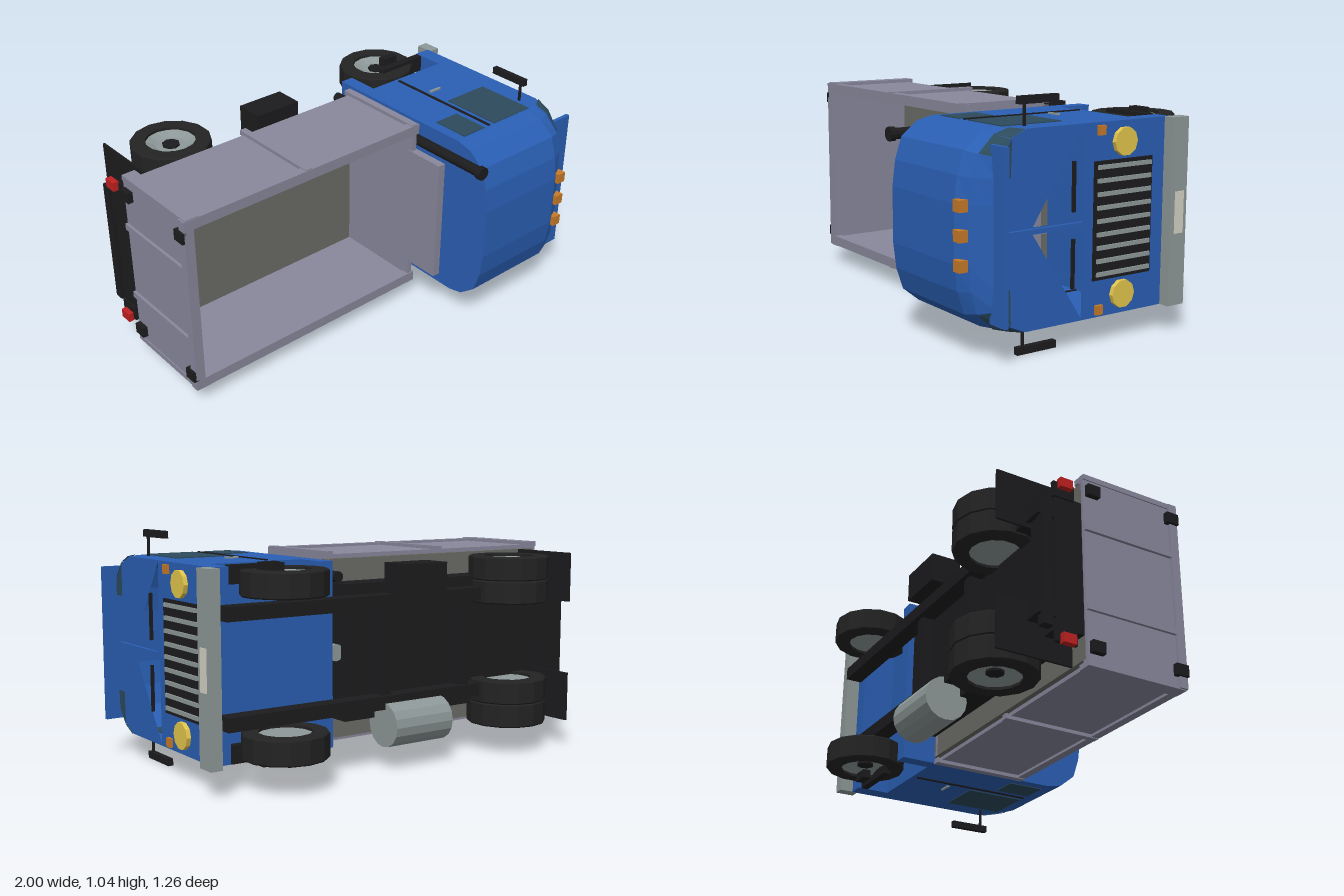
import * as THREE from 'three';

const BLUE = 0x2a5fb4, BODY = 0x88889c, BLACK = 0x1c1c1e, STEEL = 0x8e9898, FLOOR = 0x6b6b66,
  GLASS = 0x2c4a5c, AMBER = 0xc67a28, TYRE = 0x232323, RED = 0xc02020, YELLOW = 0xe4c64c, IVORY = 0xd6d2c4;

const materials = {};
function mat(color, double) {
  const key = color + (double ? 'd' : '');
  return materials[key] ??= new THREE.MeshStandardMaterial({
    color, flatShading: true, side: double ? THREE.DoubleSide : THREE.FrontSide });
}

// The truck lies on its side: nose to +x, roof to +z, width along y.
export function createModel() {
  const truck = new THREE.Group();
  truck.name = 'truck';
  truck.position.y = 0.522;
  const root = new THREE.Group();
  root.add(truck);

  function add(name, geometry, color, double) {
    const mesh = new THREE.Mesh(geometry, mat(color, double));
    mesh.name = name;
    truck.add(mesh);
    return mesh;
  }
  // Box by its limits
  function box(name, color, x0, x1, y0, y1, z0, z1) {
    const m = add(name, new THREE.BoxGeometry(x1 - x0, y1 - y0, z1 - z0), color);
    m.position.set((x0 + x1) / 2, (y0 + y1) / 2, (z0 + z1) / 2);
  }
  // The same box on both sides of the truck
  function pair(name, color, x0, x1, y0, y1, z0, z1) {
    box(name, color, x0, x1, y0, y1, z0, z1);
    box(name, color, x0, x1, -y1, -y0, z0, z1);
  }
  function rod(name, color, r, length, axis, x, y, z, sides = 12) {
    const m = add(name, new THREE.CylinderGeometry(r, r, length, sides), color);
    if (axis === 'x') m.rotation.z = -Math.PI / 2;
    if (axis === 'z') m.rotation.x = Math.PI / 2;
    m.position.set(x, y, z);
  }
  function surface(name, points, color) {
    const g = new THREE.BufferGeometry();
    g.setAttribute('position', new THREE.Float32BufferAttribute(points, 3));
    g.computeVertexNormals();
    add(name, g, color, true);
  }

  // ---- Cab shell: cross-sections (half width, z) along x
  const full = [[0.404, -0.22], [0.404, 0.42], [0.387, 0.495], [0.325, 0.572], [0.23, 0.603], [0.12, 0.617]];
  const mid = [[0.404, -0.22], [0.404, 0.41], [0.383, 0.48], [0.315, 0.552], [0.225, 0.578], [0.12, 0.588]];
  const nose = [[0.404, -0.22], [0.404, 0.36], [0.37, 0.44], [0.3, 0.495], [0.22, 0.505], [0.12, 0.505]];
  const ring = h => [...h, ...h.slice().reverse().map(([d, z]) => [-d, z])];
  const sections = [[0.345, full], [0.81, full], [0.87, mid], [0.93, nose]];
  const pos = [];
  for (let i = 0; i < sections.length - 1; i++) {
    const [xa, ha] = sections[i], [xb, hb] = sections[i + 1];
    const A = ring(ha), B = ring(hb), n = A.length;
    for (let j = 0; j < n - 1; j++) {
      const a = [xa, ...A[j]], b = [xa, ...A[j + 1]], c = [xb, ...B[j + 1]], d = [xb, ...B[j]];
      pos.push(...a, ...b, ...c, ...a, ...c, ...d);
    }
  }
  surface('cabShell', pos, BLUE);

  // Front wall with two triangular openings, and rear wall
  const front = new THREE.Shape(ring(nose).map(([d, z]) => new THREE.Vector2(-z, d)));
  for (const s of [1, -1]) {
    front.holes.push(new THREE.Path([[0.395, 0.08], [0.015, 0.33], [0.015, 0.08]]
      .map(([d, z]) => new THREE.Vector2(-z, s * d))));
  }
  const frontWall = add('cabFront', new THREE.ShapeGeometry(front), BLUE, true);
  frontWall.rotation.y = Math.PI / 2;
  frontWall.position.x = 0.93;
  const rear = new THREE.Shape(ring(full).map(([d, z]) => new THREE.Vector2(z, d)));
  const rearWall = add('cabRear', new THREE.ShapeGeometry(rear), BLUE);
  rearWall.rotation.y = -Math.PI / 2;
  rearWall.position.x = 0.345;

  // Floor and the skirts around the wheel arches
  box('cabFloor', BLUE, 0.346, 0.929, -0.403, 0.403, -0.222, -0.2);
  box('rearSkirt', BLUE, 0.345, 0.41, -0.404, 0.404, -0.38, -0.22);
  box('frontSkirt', BLUE, 0.85, 0.93, -0.404, 0.404, -0.38, -0.22);
  box('centrePillar', BLUE, 0.925, 0.945, -0.01, 0.01, 0.09, 0.455);
  box('sunVisor', BLUE, 0.9, 1.0, -0.352, 0.352, 0.495, 0.513);

  // Corner windows wrapping from the nose onto the door side
  const glassQuads = [
    [[0.934, 0.22, 0.44], [0.934, 0.22, 0.5], [0.934, 0.3, 0.49], [0.934, 0.37, 0.435]],
    [[0.934, 0.37, 0.44], [0.934, 0.3, 0.495], [0.876, 0.317, 0.55], [0.876, 0.386, 0.48]],
    [[0.934, 0.404, 0.37], [0.934, 0.372, 0.44], [0.876, 0.386, 0.48], [0.876, 0.407, 0.41]],
  ];
  for (const s of [1, -1])
    for (const q of glassQuads)
      surface('cornerWindow', [0, 1, 2, 0, 2, 3].flatMap(i => [q[i][0], s * q[i][1], q[i][2]]), GLASS);

  // Doors, mirrors and steps
  pair('doorWindow', GLASS, 0.59, 0.825, 0.4, 0.408, 0.11, 0.405);
  pair('quarterWindow', GLASS, 0.395, 0.525, 0.4, 0.408, 0.23, 0.407);
  pair('doorSeam', BLACK, 0.554, 0.566, 0.4, 0.409, -0.2, 0.405);
  pair('doorHandle', STEEL, 0.59, 0.655, 0.4, 0.412, -0.018, -0.006);
  pair('mirrorArm', BLACK, 0.85, 0.86, 0.39, 0.5, 0.315, 0.325);
  pair('mirror', BLACK, 0.84, 0.865, 0.49, 0.522, 0.155, 0.35);
  pair('upperStep', BLACK, 0.58, 0.84, 0.33, 0.408, -0.37, -0.335);
  pair('lowerStep', BLACK, 0.65, 0.735, 0.38, 0.42, -0.445, -0.408);

  // Grille, lamps, wipers and bumper
  box('grille', BLACK, 0.925, 0.937, -0.247, 0.247, -0.285, 0.025);
  for (let i = -4; i <= 4; i++)
    box('grilleBar', STEEL, 0.93, 0.945, i * 0.0555 - 0.009, i * 0.0555 + 0.009, -0.275, 0.01);
  for (const s of [1, -1]) rod('headlamp', YELLOW, 0.06, 0.03, 'x', 0.935, s * 0.319, -0.13, 10);
  pair('turnSignal', AMBER, 0.925, 0.945, 0.352, 0.392, -0.025, 0.01);
  pair('wiper', BLACK, 0.935, 0.947, 0.055, 0.26, 0.129, 0.142);
  for (const y of [-0.118, 0, 0.118]) box('roofLamp', AMBER, 0.82, 0.865, y - 0.024, y + 0.024, 0.59, 0.63);
  box('bumper', STEEL, 0.925, 0.98, -0.404, 0.404, -0.445, -0.355);
  box('numberPlate', IVORY, 0.975, 0.985, -0.09, 0.09, -0.425, -0.378);

  // ---- Chassis
  pair('frameRail', BLACK, -0.96, 0.905, 0.192, 0.252, -0.46, -0.38);
  box('subframe', BLACK, -0.96, 0.28, -0.3, 0.3, -0.38, -0.252);
  for (const x of [-0.9, -0.35, 0.1])
    box('crossMember', BLACK, x - 0.025, x + 0.025, -0.2, 0.2, -0.44, -0.38);
  box('rearBar', BLACK, -0.97, -0.93, -0.3, 0.3, -0.445, -0.4);
  rod('gearboxHousing', STEEL, 0.038, 0.1, 'z', 0.305, 0.003, -0.3);
  rod('exhaustStack', BLACK, 0.024, 0.97, 'z', 0.31, 0.333, 0.11);
  rod('exhaustTip', BLACK, 0.031, 0.025, 'z', 0.31, 0.333, 0.6);
  rod('fuelTank', STEEL, 0.1, 0.315, 'x', -0.037, -0.322, -0.445, 16);
  box('batteryBox', BLACK, -0.17, 0.068, 0.25, 0.385, -0.522, -0.38);
  pair('mudFlap', BLACK, -0.87, -0.86, 0.17, 0.4, -0.595, -0.25);
  pair('tailLamp', RED, -0.993, -0.965, 0.328, 0.37, -0.37, -0.31);
  pair('tailLampBracket', BLACK, -0.968, -0.95, 0.29, 0.36, -0.39, -0.29);

  // ---- Wheels: lathed tyre with recessed rim and hub cap
  function wheel(x, s, y0, y1) {
    const w = y1 - y0, g = new THREE.Group();
    g.name = 'wheel';
    const lathe = pts => new THREE.LatheGeometry(pts.map(([r, h]) => new THREE.Vector2(r, h)), 14);
    const parts = [
      ['tyre', lathe([[0.115, 0], [0.18, 0], [0.185, 0.006], [0.185, w - 0.006], [0.18, w], [0.115, w],
        [0.115, 0]]), TYRE],
      ['rim', lathe([[0, 0.012], [0.116, 0.012], [0.116, w - 0.012], [0.07, w - 0.03], [0, w - 0.03]]), STEEL],
    ];
    for (const [name, geo, color] of parts) {
      const m = new THREE.Mesh(geo, mat(color, true));
      m.name = name;
      g.add(m);
    }
    const cap = new THREE.Mesh(new THREE.CylinderGeometry(0.04, 0.04, 0.04, 8), mat(BLACK));
    cap.name = 'hubCap';
    cap.position.y = w - 0.04;
    g.add(cap);
    g.position.set(x, s * y0, -0.447);
    if (s < 0) g.rotation.x = Math.PI;
    truck.add(g);
  }
  for (const s of [1, -1]) {
    wheel(0.63, s, 0.28, 0.39);
    wheel(-0.61, s, 0.178, 0.284);
    wheel(-0.61, s, 0.284, 0.392);
  }

  // ---- Cargo bed
  box('bedFloor', FLOOR, -0.96, 0.285, -0.4, 0.4, -0.25, -0.215);
  pair('sideWall', BODY, -0.97, 0.28, 0.388, 0.418, -0.225, 0.2);
  pair('sideRail', BODY, -0.985, 0.29, 0.382, 0.43, 0.185, 0.225);
  for (const [x0, x1] of [[-0.98, -0.915], [-0.367, -0.335], [0.25, 0.285]])
    pair('sideRib', BODY, x0, x1, 0.41, 0.434, -0.25, 0.222);
  box('headboard', BODY, 0.255, 0.28, -0.4, 0.4, -0.25, 0.22);
  box('headboardTop', BODY, 0.25, 0.288, -0.3, 0.3, 0.2, 0.4);
  for (const y of [-0.18, 0.18]) box('headboardRib', BODY, 0.275, 0.295, y - 0.018, y + 0.018, -0.25, 0.39);
  box('tailgate', BODY, -0.975, -0.945, -0.41, 0.41, -0.25, 0.2);
  box('tailgateRail', BODY, -0.988, -0.942, -0.43, 0.43, 0.185, 0.225);
  for (const y of [-0.18, 0.18]) box('tailgateRib', BODY, -0.988, -0.965, y - 0.015, y + 0.015, -0.25, 0.2);
  pair('tailgateLatch', BLACK, -1.0, -0.975, 0.33, 0.38, 0.165, 0.225);
  pair('tailgateHinge', BLACK, -1.0, -0.975, 0.33, 0.38, -0.24, -0.18);
  return root;
}
